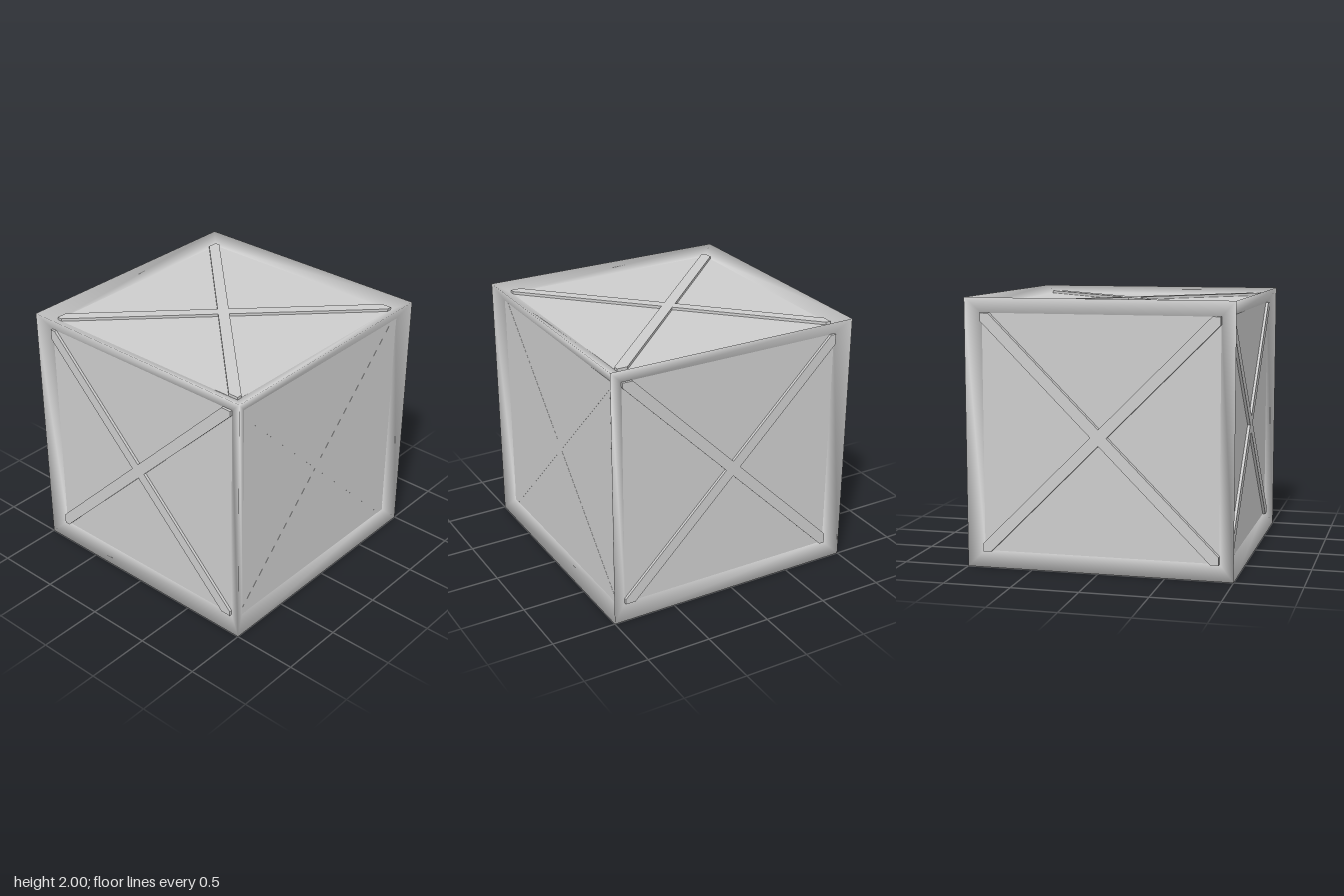
import * as THREE from 'three';
import { mergeVertices } from 'three/addons/utils/BufferGeometryUtils.js';

const PANEL = 0.9425;   // half size of the panelled cube
const OPENING = 0.885;  // half size of each frame opening
const SHIFT = -0.02;    // sideways offset of the cross braces

// Smooth-shaded frame: sloping rims round all six openings, sharing corners
function frameGeometry() {
  const positions = [];
  const corners = [[1, 1], [-1, 1], [-1, -1], [1, -1]];
  for (let axis = 0; axis < 3; axis++) {
    for (const side of [1, -1]) {
      const at = ([u, v], size, height) => {
        const p = [0, 0, 0];
        p[axis] = side * height;
        p[(axis + 1) % 3] = u * size;
        p[(axis + 2) % 3] = v * size;
        return p;
      };
      const rings = [[1, 1], [OPENING, PANEL], [OPENING, OPENING]];
      for (let r = 0; r < 2; r++) {
        for (let i = 0; i < 4; i++) {
          const k = corners[i], n = corners[(i + 1) % 4];
          const quad = [at(k, ...rings[r]), at(n, ...rings[r]), at(n, ...rings[r + 1]), at(k, ...rings[r + 1])];
          if (side < 0) quad.reverse();
          for (const j of [0, 1, 2, 0, 2, 3]) positions.push(...quad[j]);
        }
      }
    }
  }
  const geometry = new THREE.BufferGeometry();
  geometry.setAttribute('position', new THREE.Float32BufferAttribute(positions, 3));
  const merged = mergeVertices(geometry);
  merged.computeVertexNormals();
  return merged;
}

// X-shaped plate trimmed to the opening; o moves its crossing sideways
function braceGeometry(o, top) {
  const h = 0.06, e = 0.887, base = 0.91;
  const upper = [
    [o + h, 0], [e, e - o - h], [e, e], [e + o - h, e], [o, h],
    [o - e + h, e], [-e, e], [-e, e + o - h], [o - h, 0],
  ];
  const lower = upper.slice(1, -1).reverse().map(([x, y]) => [x, -y]);
  const shape = new THREE.Shape([...upper, ...lower].map(([x, y]) => new THREE.Vector2(x, y)));
  return new THREE.ExtrudeGeometry(shape, { depth: top - base, bevelEnabled: false }).translate(0, 0, base);
}

export function createModel() {
  const model = new THREE.Group();
  model.name = 'crate';
  const grey = new THREE.MeshStandardMaterial({ color: 0xcccccc });
  grey.name = 'light grey';

  const add = (name, geometry) => {
    const mesh = new THREE.Mesh(geometry, grey);
    mesh.name = name;
    mesh.position.y = 1;
    model.add(mesh);
    return mesh;
  };

  add('panels', new THREE.BoxGeometry(2 * PANEL, 2 * PANEL, 2 * PANEL));
  add('frame', frameGeometry());

  // Cross braces: name, x turn, y turn, sideways offset, height above the panel
  const q = Math.PI / 2;
  const braces = [
    ['frontBrace', 0, 0, SHIFT, 0.021],
    ['backBrace', 0, 2 * q, -SHIFT, 0.021],
    ['rightBrace', 0, q, 0, 0.001],
    ['leftBrace', 0, -q, 0, 0.041],
    ['topBrace', -q, 0, SHIFT, 0.021],
    ['bottomBrace', q, 0, SHIFT, 0.021],
  ];
  for (const [name, rx, ry, offset, rise] of braces) {
    add(name, braceGeometry(offset, PANEL + rise)).rotation.set(rx, ry, 0);
  }
  return model;
}
